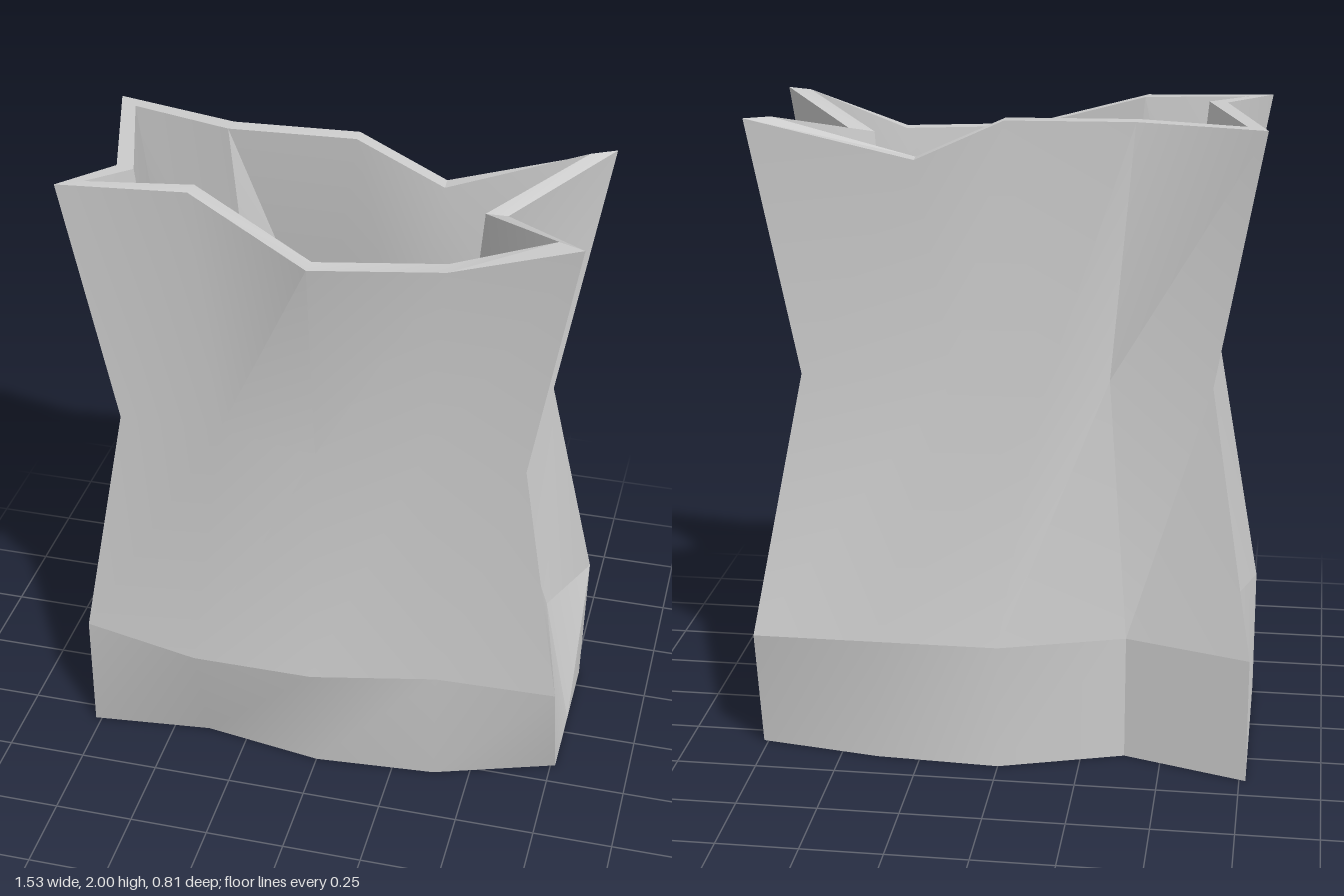
import * as THREE from 'three';
import { toCreasedNormals } from 'three/addons/utils/BufferGeometryUtils.js';

const WALL = 0.05;

// Cross-sections from base to rim, as [x, z] or [x, z, y]:
// front (-x to +x), +x fold, back (+x to -x), -x fold
const SECTIONS = [
  { y: 0, points: [
    [-0.77, 0.31], [-0.385, 0.27], [0, 0.33], [0.385, 0.3], [0.765, 0.17],
    [0.765, -0.075],
    [0.765, -0.32], [0.385, -0.385], [0, -0.405], [-0.385, -0.28], [-0.77, -0.405],
    [-0.77, -0.045]] },
  { y: 0.4, points: [
    [-0.77, 0.31], [-0.385, 0.395], [0, 0.395], [0.385, 0.31], [0.765, 0.3],
    [0.66, -0.16],
    [0.765, -0.405], [0.385, -0.405], [0, -0.405], [-0.385, -0.28], [-0.77, -0.405],
    [-0.67, -0.025]] },
  { y: 1.2, points: [
    [-0.63, 0.265], [-0.315, 0.26], [0, 0.32], [0.315, 0.265], [0.63, 0.26],
    [0.43, -0.05],
    [0.63, -0.22], [0.16, -0.235], [-0.13, -0.31], [-0.315, -0.175], [-0.63, -0.21],
    [-0.555, 0.11]] },
  { y: 2, points: [
    [-0.77, 0.31], [-0.385, 0.265], [0, 0.405, 1.875], [0.385, 0.32, 1.875], [0.765, 0.31, 1.99],
    [0.5, 0.015, 1.91],
    [0.765, -0.3], [0.27, -0.23, 1.875], [0, -0.235], [-0.385, -0.21], [-0.77, -0.3],
    [-0.635, 0.15]] },
];

// Moves a ring inwards by the wall thickness, with limited mitres
function inset(ring) {
  const n = ring.length;
  const normal = (a, b) => new THREE.Vector2(b.z - a.z, a.x - b.x).normalize();
  return ring.map((p, i) => {
    const n1 = normal(ring[(i + n - 1) % n], p);
    const n2 = normal(p, ring[(i + 1) % n]);
    const m = n1.clone().add(n2).normalize();
    const d = Math.min(WALL / Math.max(m.dot(n1), 0.1), 0.085);
    return new THREE.Vector3(p.x + m.x * d, p.y, p.z + m.y * d);
  });
}

// Joins successive rings with quads, all split along the same diagonal
function skin(rings) {
  const out = [];
  for (let r = 0; r + 1 < rings.length; r++) {
    const lo = rings[r], hi = rings[r + 1], n = lo.length;
    for (let i = 0; i < n; i++) {
      const j = (i + 1) % n;
      out.push(lo[i], lo[j], hi[j], lo[i], hi[j], hi[i]);
    }
  }
  return out;
}

// Fills a level ring, facing up or down
function cap(ring, up) {
  const outline = ring.map((p) => new THREE.Vector2(p.x, -p.z));
  return THREE.ShapeUtils.triangulateShape(outline, [])
    .flatMap(([a, b, c]) => (up ? [a, b, c] : [a, c, b]).map((k) => ring[k]));
}

function part(name, points) {
  const geometry = new THREE.BufferGeometry().setFromPoints(points);
  const material = new THREE.MeshStandardMaterial({ color: 0xcccccc });
  const mesh = new THREE.Mesh(toCreasedNormals(geometry, 0.5), material);
  mesh.name = name;
  return mesh;
}

export function createModel() {
  const bag = new THREE.Group();
  bag.name = 'crumpledBag';

  const outer = SECTIONS.map(({ y, points }) =>
    points.map(([x, z, py = y]) => new THREE.Vector3(x, py, z)));
  const inner = outer.map(inset);
  inner[0].forEach((p) => { p.y = WALL; });

  // Outside paper, with a sharp crease above the lower band
  bag.add(part('lowerBand', skin(outer.slice(0, 2))));
  bag.add(part('upperWall', skin(outer.slice(1))));
  // Inside paper, wound the other way to face inwards
  bag.add(part('innerWall', skin(inner).reverse()));
  // Thick open edge and the flat base
  bag.add(part('rim', skin([outer.at(-1), inner.at(-1)])));
  bag.add(part('base', cap(outer[0], false)));
  bag.add(part('innerFloor', cap(inner[0], true)));
  return bag;
}
